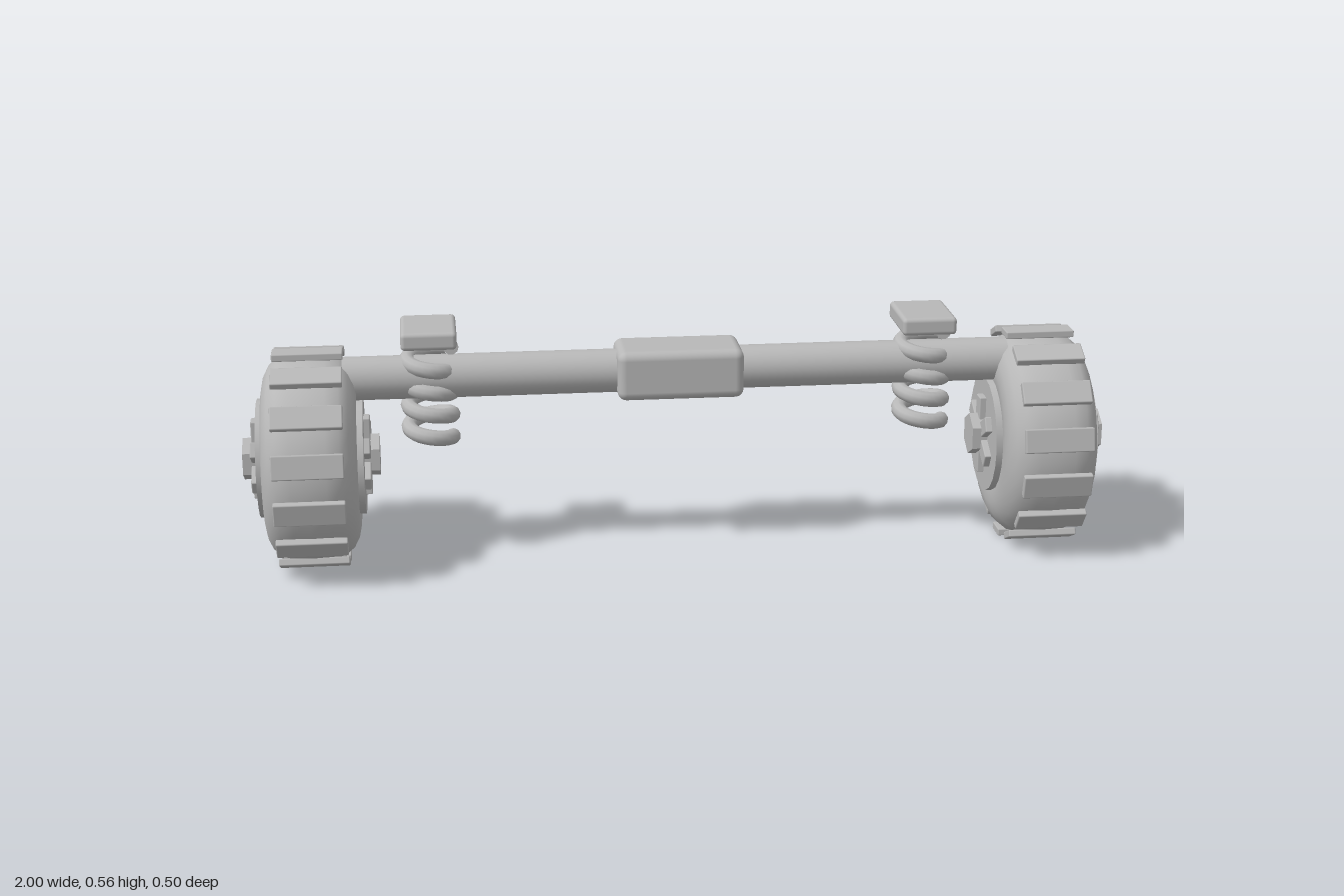
import * as THREE from 'three';
import { RoundedBoxGeometry } from 'three/addons/geometries/RoundedBoxGeometry.js';
import { toCreasedNormals } from 'three/addons/utils/BufferGeometryUtils.js';

const WHEEL_X = 0.845, WHEEL_Y = 0.252;

export function createModel() {
  const model = new THREE.Group();
  model.name = 'axleAssembly';
  const grey = new THREE.MeshStandardMaterial({ color: 0xb8b8b8 });
  grey.name = 'plain grey';

  function add(parent, name, geometry, x = 0, y = 0, z = 0) {
    const mesh = new THREE.Mesh(geometry, grey);
    mesh.name = name;
    mesh.position.set(x, y, z);
    parent.add(mesh);
    return mesh;
  }

  // Cylinder lying along x
  const rod = (radius, length, sides) =>
    toCreasedNormals(new THREE.CylinderGeometry(radius, radius, length, sides).rotateZ(Math.PI / 2), 0.7);

  // Tyre cross-section: [radius, half width], mirrored about the wheel's middle
  const side = [[0.1, 0.095], [0.135, 0.105], [0.165, 0.107], [0.19, 0.102],
    [0.213, 0.09], [0.23, 0.07], [0.238, 0.04]];
  const profile = [
    ...side.map(([r, w]) => new THREE.Vector2(r, -w)),
    new THREE.Vector2(0.24, 0),
    ...[...side].reverse().map(([r, w]) => new THREE.Vector2(r, w)),
  ];
  const tyreGeometry = new THREE.LatheGeometry(profile, 24).rotateZ(Math.PI / 2);
  const hubGeometry = rod(0.136, 0.24, 20);
  const hexGeometry = rod(0.05, 0.31, 6).rotateX(Math.PI / 2);
  const treadGeometry = new RoundedBoxGeometry(0.16, 0.017, 0.055, 1, 0.003);
  const spokeGeometry = new RoundedBoxGeometry(0.27, 0.056, 0.037, 1, 0.003);

  function ring(parent, name, geometry, count, radius) {
    for (let i = 0; i < count; i++) {
      const a = (i / count) * Math.PI * 2;
      const mesh = add(parent, name, geometry, 0, radius * Math.cos(a), radius * Math.sin(a));
      mesh.rotation.x = a;
    }
  }

  // Wheels, with the same hub on both faces
  for (const s of [-1, 1]) {
    const wheel = new THREE.Group();
    wheel.name = s > 0 ? 'leftWheel' : 'rightWheel';
    wheel.position.set(s * WHEEL_X, WHEEL_Y, 0);
    add(wheel, 'tyre', tyreGeometry);
    add(wheel, 'hub', hubGeometry);
    add(wheel, 'hubNut', hexGeometry);
    ring(wheel, 'spoke', spokeGeometry, 6, 0.064);
    ring(wheel, 'tread', treadGeometry, 14, 0.2435);
    model.add(wheel);
  }

  // Axle and its centre housing
  add(model, 'axle', rod(0.05, 1.535, 24), 0, 0.435);
  add(model, 'axleHousing', new RoundedBoxGeometry(0.29, 0.115, 0.15, 3, 0.02), 0, 0.437);

  // Coil springs under their mounting plates; both wind the same way
  const TURNS = 4, COIL = 0.05, LOW = 0.29, HIGH = 0.502, WIRE = 0.018;
  const helix = [];
  for (let i = 0; i <= TURNS * 12; i++) {
    const t = i / (TURNS * 12), a = t * TURNS * Math.PI * 2;
    helix.push(new THREE.Vector3(COIL * Math.cos(a), LOW + (HIGH - LOW) * t, COIL * Math.sin(a)));
  }
  const springGeometry = new THREE.TubeGeometry(new THREE.CatmullRomCurve3(helix), 96, WIRE, 10);
  const capGeometry = new THREE.CircleGeometry(WIRE, 10);
  const plateGeometry = new RoundedBoxGeometry(0.126, 0.041, 0.17, 2, 0.01);
  for (const x of [-0.571, 0.571]) {
    add(model, 'spring', springGeometry, x);
    add(model, 'springLowerEnd', capGeometry, x + COIL, LOW).rotation.y = Math.PI;
    add(model, 'springUpperEnd', capGeometry, x + COIL, HIGH);
    add(model, 'springPlate', plateGeometry, x, 0.5385);
  }
  return model;
}
